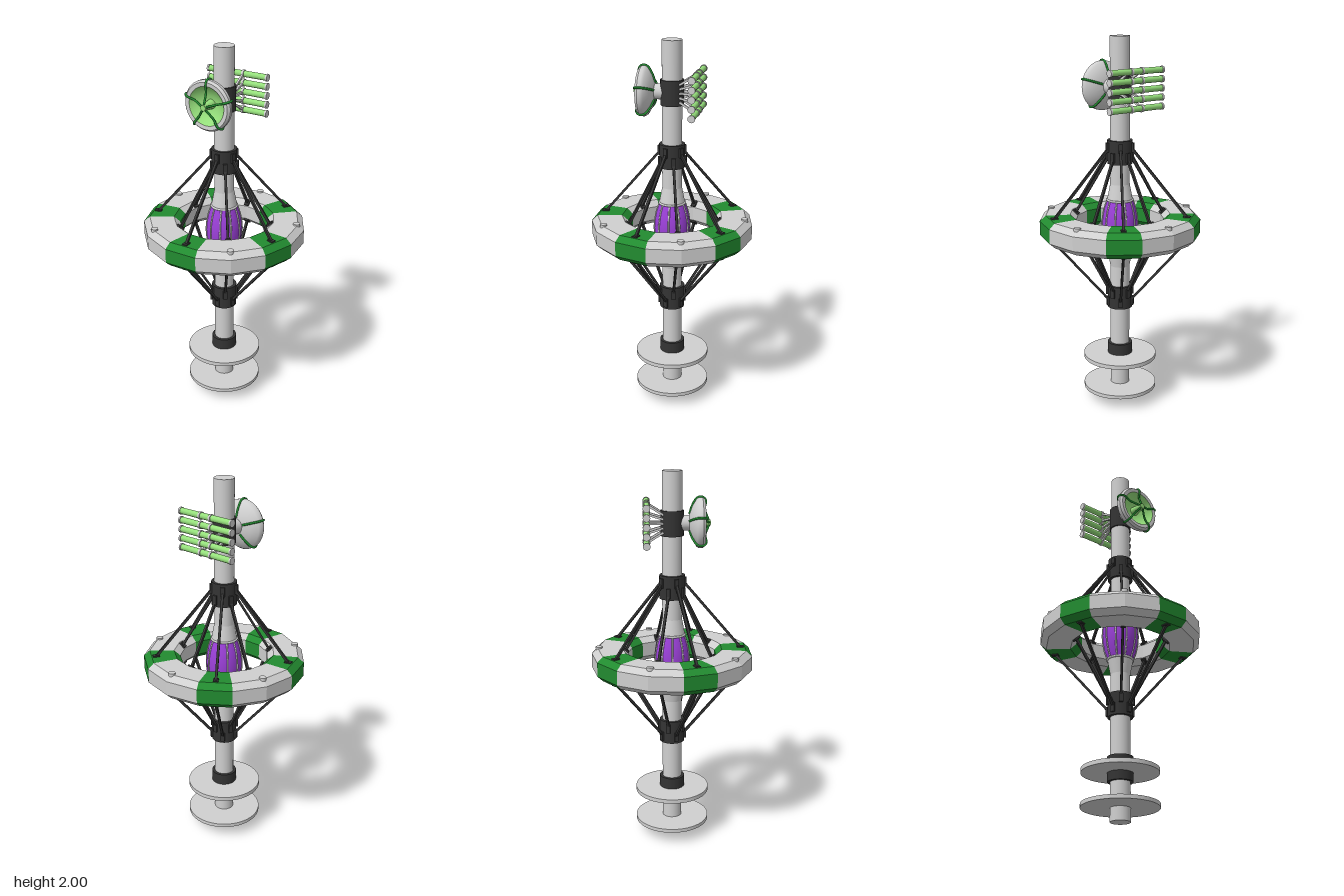
import * as THREE from 'three';
import { toCreasedNormals } from 'three/addons/utils/BufferGeometryUtils.js';

const mat = (name, color) => {
  const m = new THREE.MeshStandardMaterial({ color });
  m.name = name;
  return m;
};

export function createModel() {
  const model = new THREE.Group();
  model.name = 'spaceStation';
  const hull = mat('hull grey', 0xd0d0d0);
  const dark = mat('dark metal', 0x343434);
  const green = mat('deep green', 0x228b30);
  const lime = mat('light green', 0x96e07c);
  const purple = mat('purple', 0x9b40d8);

  const V = (x, y, z) => new THREE.Vector3(x, y, z);
  const rad = THREE.MathUtils.degToRad;
  const polar = (r, y, a) => V(r * Math.sin(a), y, r * Math.cos(a));
  const CY = 1.003; // height of the ring's mid plane

  function add(name, geo, material, parent = model) {
    const m = new THREE.Mesh(geo, material);
    m.name = name;
    parent.add(m);
    return m;
  }
  function drum(name, r0, r1, y0, y1, material, sides = 32) {
    const g = new THREE.CylinderGeometry(r1, r0, y1 - y0, sides);
    g.translate(0, (y0 + y1) / 2, 0);
    return add(name, g, material);
  }
  const lathe = (pts, sides, crease = 0.5, start = 0, length = Math.PI * 2) =>
    toCreasedNormals(new THREE.LatheGeometry(pts.map(p => new THREE.Vector2(...p)), sides, start, length), crease);
  // square bar between two points
  function bar(name, a, b, w, material) {
    const m = add(name, new THREE.BoxGeometry(w, w, a.distanceTo(b)), material);
    m.position.copy(a).lerp(b, 0.5);
    m.lookAt(b);
    return m;
  }

  // central column, base discs and collars
  drum('column', 0.052, 0.052, 0, 2, hull);
  drum('lowerDisc', 0.2, 0.2, 0.07, 0.09, hull, 48);
  drum('upperDisc', 0.2, 0.2, 0.246, 0.268, hull, 48);
  drum('baseCollar', 0.067, 0.067, 0.2, 0.33, dark);
  drum('lowerCollar', 0.067, 0.067, 0.54, 0.665, dark);
  drum('upperCollar', 0.067, 0.067, 1.341, 1.466, dark);
  drum('antennaCollar', 0.06, 0.06, 1.67, 1.8, dark);

  // fifteen sided habitat ring, every third segment green
  const section = [[0.43, 0.965], [0.43, 1.041], [0.398, 1.07], [0.268, 1.07],
    [0.235, 1.041], [0.235, 0.965], [0.268, 0.936], [0.398, 0.936], [0.43, 0.965]];
  for (let i = 0; i < 5; i++) {
    const a = rad(72 * i);
    add('ringGreenSegment', lathe(section, 1, 0.1, a - rad(12), rad(24)), green);
    add('ringGreySegment', lathe(section, 2, 0.1, a + rad(12), rad(48)), hull);
    const stud = drum('ringStud', 0.018, 0.018, 1.05, 1.078, hull, 20);
    const p = polar(0.39, 0, a + rad(36));
    stud.position.set(p.x, 0, p.z);
  }

  // struts from both collars to the ring, long and short by turns
  for (const s of [1, -1]) {
    for (let i = 0; i < 10; i++) {
      const a = rad(36 * i), long = i % 2 === 0;
      const from = polar(0.06, CY + s * (long ? 0.425 : 0.375), a);
      const to = long ? polar(0.365, CY + s * 0.067, a) : polar(0.247, CY + s * 0.055, a);
      bar('strut', from, to, 0.013, dark);
      const foot = add('strutFoot', new THREE.BoxGeometry(0.027, 0.012, 0.036), dark);
      foot.position.copy(to);
      foot.rotation.set(long ? 0 : -s * 0.72, a, 0, 'YXZ');
      const clamp = add('strutClamp', new THREE.BoxGeometry(0.022, 0.05, 0.02), dark);
      clamp.position.copy(polar(0.066, from.y, a));
      clamp.rotation.y = a;
    }
  }

  // ribbed core inside the ring
  const core = [[0.066, 0.86], [0.083, 0.91], [0.092, 0.96], [0.095, CY],
    [0.092, 1.046], [0.083, 1.096], [0.066, 1.146]];
  add('core', lathe(core, 40, 1), purple);
  drum('coreShoulderTop', 0.068, 0.052, 1.146, 1.23, hull);
  drum('coreShoulderBottom', 0.052, 0.068, 0.776, 0.86, hull);
  for (const y of [0.862, 1.144]) {
    const band = add('coreBand', new THREE.TorusGeometry(0.068, 0.006, 8, 40), hull);
    band.rotation.x = Math.PI / 2;
    band.position.y = y;
  }
  for (let i = 0; i < 10; i++) {
    const path = new THREE.CatmullRomCurve3(core.map(([r, y]) => polar(r, y, rad(18 + 36 * i))));
    add('coreRib', new THREE.TubeGeometry(path, 16, 0.005, 6), hull);
  }

  // dish antenna, built around y and turned to face the front
  const dish = new THREE.Group();
  dish.name = 'dish';
  dish.position.y = 1.735;
  dish.rotation.x = Math.PI / 2;
  model.add(dish);
  add('dishShell', lathe([[0, 0.088], [0.042, 0.088], [0.085, 0.103], [0.122, 0.125], [0.13, 0.138],
    [0.13, 0.155], [0.12, 0.168], [0.1, 0.166]], 40, 0.6), hull, dish);
  add('dishBowl', lathe([[0.1, 0.166], [0.08, 0.143], [0.045, 0.125], [0, 0.118]], 40, 1), lime, dish);
  const neck = add('dishNeck', new THREE.CylinderGeometry(0.04, 0.04, 0.07, 24), hull, dish);
  neck.position.y = 0.065;
  const feed = add('dishFeed', new THREE.CylinderGeometry(0.015, 0.026, 0.085, 16), lime, dish);
  feed.position.y = 0.155;
  for (let i = 0; i < 5; i++) {
    const pts = [[0.045, 0.088], [0.088, 0.102], [0.128, 0.128], [0.132, 0.155], [0.115, 0.172],
      [0.07, 0.168], [0.014, 0.188]].map(([r, y]) => polar(r, y, Math.PI + rad(72 * i)));
    add('dishRib', new THREE.TubeGeometry(new THREE.CatmullRomCurve3(pts), 28, 0.006, 6), green, dish);
  }

  // rear array of five tubes on two fans of arms
  for (let i = -2; i <= 2; i++) {
    const y = 1.735 + i * 0.047;
    const tube = add('arrayTube', new THREE.CylinderGeometry(0.016, 0.016, 0.34, 16), lime);
    tube.rotation.z = Math.PI / 2;
    tube.position.set(0, y, -0.132);
    for (const s of [1, -1]) {
      const cap = add('arrayTubeCap', new THREE.CylinderGeometry(0.019, 0.019, 0.01, 16), hull);
      cap.rotation.z = Math.PI / 2;
      cap.position.set(s * 0.17, y, -0.132);
      const clip = add('arrayClip', new THREE.CylinderGeometry(0.02, 0.02, 0.012, 16), hull);
      clip.rotation.z = Math.PI / 2;
      clip.position.set(s * 0.035, y, -0.132);
      bar('arrayArm', V(s * 0.035, 1.735 + i * 0.022, -0.045), V(s * 0.035, y, -0.125), 0.011, hull);
    }
  }
  return model;
}
